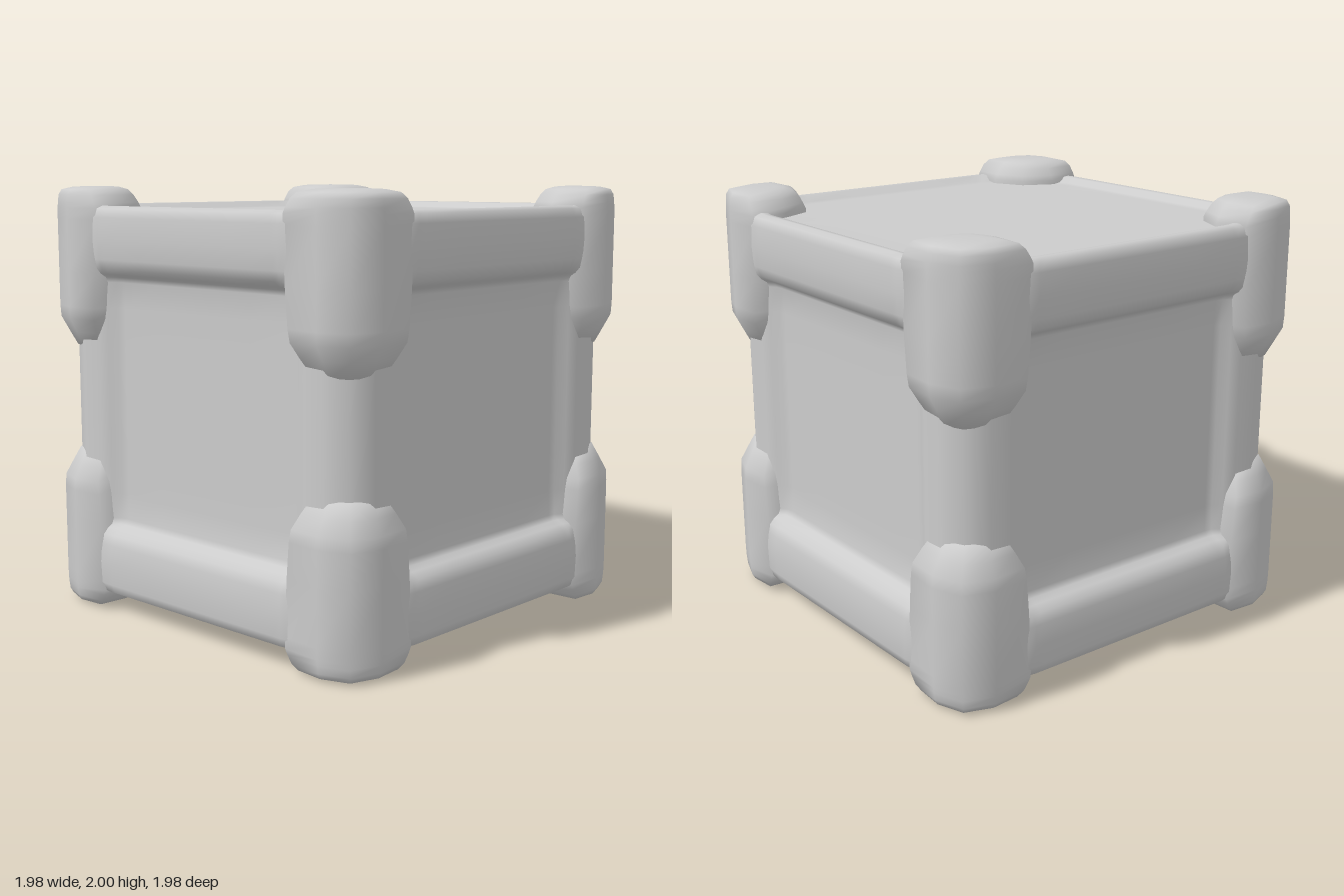
import * as THREE from 'three';

const material = new THREE.MeshStandardMaterial({ color: 0xcccccc });

// Skin over stacked closed loops of [x, y, z], listed bottom to top, both ends closed by fans
function loft(loops) {
  const n = loops[0].length, pos = [], index = [];
  loops.forEach(loop => loop.forEach(p => pos.push(...p)));
  for (let j = 0; j < loops.length - 1; j++) {
    for (let i = 0; i < n; i++) {
      const a = j * n + i, b = j * n + (i + 1) % n;
      index.push(a, b, b + n, a, b + n, a + n);
    }
  }
  const ends = [loops[0], loops[loops.length - 1]];
  ends.forEach((loop, e) => {
    const c = pos.length / 3, base = e ? (loops.length - 1) * n : 0;
    const mid = [0, 1, 2].map(k => loop.reduce((s, p) => s + p[k], 0) / n);
    pos.push(...mid);
    for (let i = 0; i < n; i++) {
      const a = base + i, b = base + (i + 1) % n;
      if (e) index.push(a, b, c); else index.push(b, a, c);
    }
  });
  const g = new THREE.BufferGeometry();
  g.setAttribute('position', new THREE.Float32BufferAttribute(pos, 3));
  g.setIndex(index);
  g.computeVertexNormals();
  return g;
}

// Half a side, from its middle to the corner: recessed panel with post, and full rail
const POST = [[0, 0.87], [0.3, 0.87], [0.54, 0.87], [0.58, 0.875], [0.62, 0.905], [0.67, 0.925], [0.78, 0.93], [0.88, 0.88]];
const RAIL = [[0, 0.985], [0.3, 0.985], [0.54, 0.985], [0.58, 0.985], [0.62, 0.98], [0.67, 0.965], [0.78, 0.95], [0.89, 0.89]];

// Full square loop at height y; t blends post to rail, s scales it
function bodyLoop(y, t, s = 1) {
  const half = POST.map(([x, z], i) => [
    THREE.MathUtils.lerp(x, RAIL[i][0], t) * s,
    THREE.MathUtils.lerp(z, RAIL[i][1], t) * s]);
  const quarter = [...half, ...half.slice(1, -1).reverse().map(([x, z]) => [z, x])];
  const loop = [];
  for (let k = 0; k < 4; k++) {
    quarter.forEach(([x, z]) => {
      const [px, pz] = [[x, z], [z, -x], [-x, -z], [-z, x]][k];
      loop.push([px, y, pz]);
    });
  }
  return loop;
}

// Lower half of the body, from the recessed bottom panel up to mid height: [y, t, s]
const BODY = [
  [0.12, 1, 0.6], [0.12, 1, 0.86], [0.115, 1, 0.895], [0.09, 1, 0.925], [0.087, 1, 0.955],
  [0.1, 1, 0.985], [0.14, 1, 0.998], [0.24, 1, 1], [0.33, 0.95, 1], [0.375, 0.8, 1],
  [0.4, 0.5, 1], [0.415, 0.2, 1], [0.44, 0.04, 1], [0.56, 0, 1], [0.75, 0, 1]];

// Corner cap footprint around its own middle
const MID = 0.8;
const CAP = [[0.63, 0.977], [0.8, 0.99], [0.94, 0.94], [0.99, 0.8], [0.977, 0.63], [0.81, 0.62], [0.68, 0.68], [0.62, 0.81]];
// Cap levels: [y, outward scale, inward scale]
const CAP_ROWS = [
  [1.25, 0.6, 0.6], [1.32, 0.8, 0.8], [1.385, 0.98, 0.95], [1.44, 1, 1], [1.6, 1, 1.08], [1.85, 1, 1.15],
  [1.9, 0.995, 1.15], [1.925, 0.985, 1.08], [1.96, 0.965, 0.95], [1.985, 0.89, 0.8], [1.997, 0.62, 0.55], [2, 0.3, 0.3]];

export function createModel() {
  const model = new THREE.Group();
  model.name = 'crate';

  // Body: rails, posts and recessed panels in one smooth skin
  const upper = BODY.slice().reverse().map(([y, t, s]) => [2 - y, t, s]);
  const body = new THREE.Mesh(loft([...BODY, [1, 0, 1], ...upper].map(r => bodyLoop(...r))), material);
  body.name = 'crateBody';
  model.add(body);

  // Eight corner caps, four above and four turned over below
  const capGeometry = loft(CAP_ROWS.map(([y, out, inn]) => CAP.map(p => {
    const [x, z] = p.map(v => MID + (v - MID) * (v > MID ? out : inn));
    return [x, y - 1, z];
  })));
  for (const level of ['top', 'bottom']) {
    const caps = new THREE.Group();
    caps.name = level + 'CornerCaps';
    caps.position.y = 1;
    if (level === 'bottom') caps.rotation.x = Math.PI;
    for (let k = 0; k < 4; k++) {
      const cap = new THREE.Mesh(capGeometry, material);
      cap.name = 'cornerCap';
      cap.rotation.y = k * Math.PI / 2;
      caps.add(cap);
    }
    model.add(caps);
  }
  return model;
}
